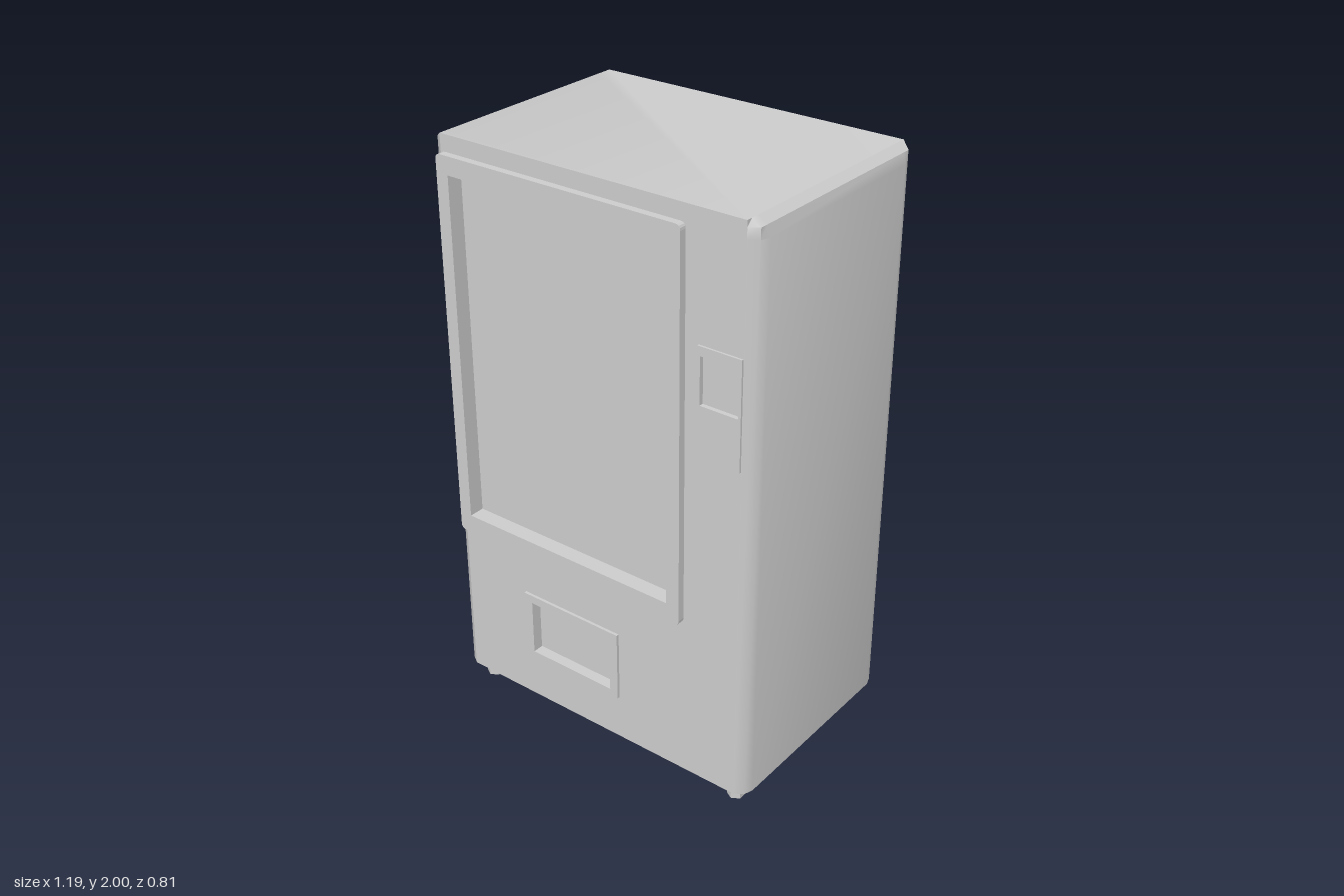
import * as THREE from 'three';
import { toCreasedNormals } from 'three/addons/utils/BufferGeometryUtils.js';

const FRONT = 0.38, BACK = -0.405, BASE = 0.06, TOP = 2, FLAT = 0.555;

const material = new THREE.MeshStandardMaterial({ color: 0xcccccc });

// Rectangle outline [x0, y0, x1, y1] with rounded corners
function rect([x0, y0, x1, y1], r = 0, Type = THREE.Shape) {
  const s = new Type();
  if (!r) {
    return s.setFromPoints([[x0, y0], [x1, y0], [x1, y1], [x0, y1]].map(p => new THREE.Vector2(...p)));
  }
  s.moveTo(x0 + r, y0);
  s.lineTo(x1 - r, y0);
  s.quadraticCurveTo(x1, y0, x1, y0 + r);
  s.lineTo(x1, y1 - r);
  s.quadraticCurveTo(x1, y1, x1 - r, y1);
  s.lineTo(x0 + r, y1);
  s.quadraticCurveTo(x0, y1, x0, y1 - r);
  s.lineTo(x0, y0 + r);
  s.quadraticCurveTo(x0, y0, x0 + r, y0);
  return s;
}

function add(parent, name, geometry) {
  const mesh = new THREE.Mesh(geometry, material);
  mesh.name = name;
  parent.add(mesh);
  return mesh;
}

// Cabinet shell: stacked outlines, bevelled at the upright corners and top sides
function cabinetGeometry() {
  const half = [[FLAT, FRONT], [0.585, 0.36], [0.595, 0.33], [0.595, -0.355], [0.585, -0.385], [FLAT, BACK]];
  const outline = [...half, ...half.map(([x, z]) => [-x, z]).reverse()];
  const levels = [[BASE, 0.595], [1.945, 0.595], [1.98, 0.585], [TOP, FLAT]];
  const n = outline.length, positions = [], index = [];
  for (const [y, w] of levels) {
    for (const [x, z] of outline) positions.push(THREE.MathUtils.clamp(x, -w, w), y, z);
  }
  for (let l = 0; l < levels.length - 1; l++) {
    // the front stays open for the pierced front panel
    for (let i = 0; i < n - 1; i++) {
      const a = l * n + i, b = a + 1;
      index.push(a, b, b + n, a, b + n, a + n);
    }
  }
  const t = (levels.length - 1) * n;
  for (let i = 1; i < n - 1; i++) {
    index.push(0, i + 1, i);
    index.push(t, t + i, t + i + 1);
  }
  const g = new THREE.BufferGeometry();
  g.setAttribute('position', new THREE.Float32BufferAttribute(positions, 3));
  g.setIndex(index);
  return toCreasedNormals(g.toNonIndexed(), 0.7);
}

// Raised surrounds with recessed panels
const openings = [
  { name: 'displayWindow', outer: [-0.554, 0.635, 0.355, 1.945], inner: [-0.508, 0.7, 0.306, 1.885], r: 0.018, front: 0.405, floor: 0.35 },
  { name: 'dispenserHatch', outer: [-0.298, 0.222, 0.096, 0.473], inner: [-0.265, 0.247, 0.065, 0.444], r: 0, front: 0.39, floor: 0.352 },
  { name: 'paymentPanel', outer: [0.402, 1.24, 0.554, 1.596], inner: [0.412, 1.41, 0.544, 1.565], r: 0, front: 0.387, floor: 0.372 },
];

export function createModel() {
  const model = new THREE.Group();
  model.name = 'vendingMachine';

  add(model, 'cabinet', cabinetGeometry());

  // Front panel pierced for each recess
  const face = rect([-FLAT, BASE, FLAT, TOP]);
  for (const o of openings) face.holes.push(rect(o.inner, 0, THREE.Path));
  add(model, 'frontPanel', new THREE.ShapeGeometry(face)).position.z = FRONT;

  for (const o of openings) {
    const group = new THREE.Group();
    group.name = o.name;
    model.add(group);
    const ring = rect(o.outer, o.r);
    ring.holes.push(rect(o.inner, 0, THREE.Path));
    const frame = new THREE.ExtrudeGeometry(ring, { depth: o.front - o.floor, bevelEnabled: false, curveSegments: 4 });
    add(group, o.name + 'Frame', frame).position.z = o.floor;
    add(group, o.name + 'Pane', new THREE.ShapeGeometry(rect(o.inner))).position.z = o.floor;
  }

  // Hexagonal feet
  const footGeometry = new THREE.CylinderGeometry(0.03, 0.03, 0.07, 6).toNonIndexed();
  footGeometry.computeVertexNormals();
  for (const x of [-0.527, 0.522]) {
    for (const z of [0.315, -0.337]) {
      add(model, 'foot', footGeometry).position.set(x, 0.035, z);
    }
  }
  return model;
}
